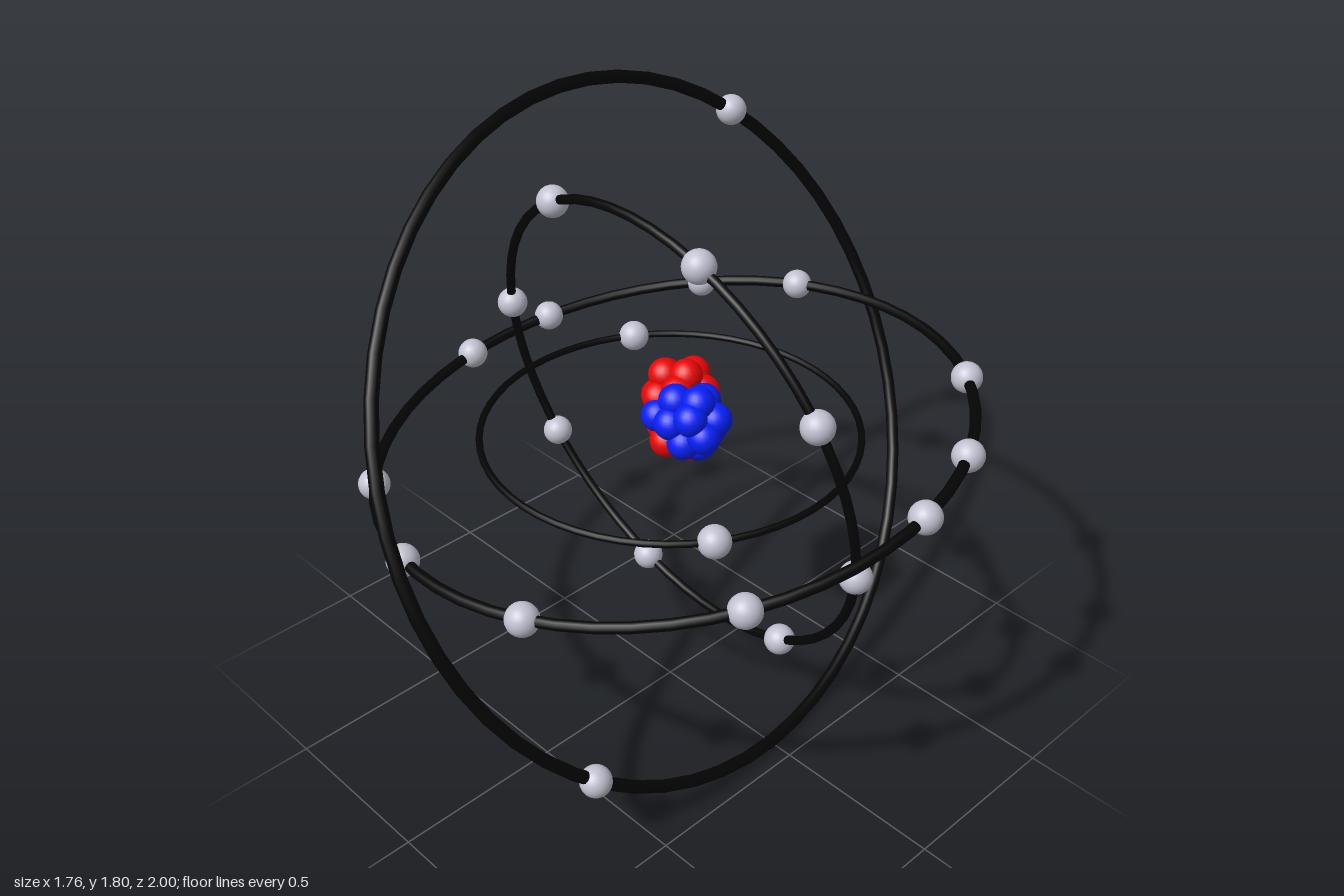
import * as THREE from 'three';

const CENTRE_Y = 0.91;
const black = new THREE.MeshStandardMaterial({ color: 0x040404 });
const lilac = new THREE.MeshStandardMaterial({ color: 0xc2c2d2 });
const red = new THREE.MeshStandardMaterial({ color: 0xea0606 });
const blue = new THREE.MeshStandardMaterial({ color: 0x0620fa });

const electronGeometry = new THREE.SphereGeometry(0.045, 24, 16);
const nucleonGeometry = new THREE.SphereGeometry(0.047, 20, 14);

// Ring with electrons: `start` points at the first electron, angles (degrees) turn about the ring's normal
function createOrbit(name, radius, normal, start, angles) {
  const orbit = new THREE.Group();
  orbit.name = name;
  orbit.position.y = CENTRE_Y;
  const n = new THREE.Vector3(...normal).normalize();

  const ring = new THREE.Mesh(new THREE.TorusGeometry(radius, radius * 0.0186, 12, 56), black);
  ring.name = name + 'Ring';
  ring.quaternion.setFromUnitVectors(new THREE.Vector3(0, 0, 1), n);
  orbit.add(ring);

  const first = new THREE.Vector3(...start).projectOnPlane(n).setLength(radius);
  for (const angle of angles) {
    const electron = new THREE.Mesh(electronGeometry, lilac);
    electron.name = 'electron';
    electron.position.copy(first).applyAxisAngle(n, THREE.MathUtils.degToRad(angle));
    orbit.add(electron);
  }
  return orbit;
}

function addNucleon(group, name, material, x, y, z) {
  const ball = new THREE.Mesh(nucleonGeometry, material);
  ball.name = name;
  ball.position.set(x, y, z);
  group.add(ball);
}

// Balls packed around a core, spread evenly on an ellipsoid
function createCluster(name, ballName, material, centre, radii, count) {
  const cluster = new THREE.Group();
  cluster.name = name;
  addNucleon(cluster, ballName, material, ...centre);
  for (let i = 0; i < count; i++) {
    const h = 1 - (2 * i + 1) / count;
    const r = Math.sqrt(1 - h * h);
    const a = i * Math.PI * (3 - Math.sqrt(5));
    addNucleon(cluster, ballName, material,
      centre[0] + radii[0] * r * Math.cos(a),
      centre[1] + radii[1] * h,
      centre[2] + radii[2] * r * Math.sin(a));
  }
  return cluster;
}

export function createModel() {
  const model = new THREE.Group();
  model.name = 'atom';

  // Nucleus: two overlapping clusters, with a few red balls tucked underneath
  const protons = createCluster('protons', 'proton', red, [-0.035, 0.98, -0.07], [0.072, 0.077, 0.068], 15);
  for (const p of [[0.02, 0.897, 0.035], [0.075, 0.895, 0], [0.02, 0.897, -0.04], [-0.03, 0.91, 0]]) {
    addNucleon(protons, 'proton', red, ...p);
  }
  const neutrons = createCluster('neutrons', 'neutron', blue, [0.085, 0.982, 0.005], [0.077, 0.073, 0.06], 14);
  addNucleon(neutrons, 'neutron', blue, -0.02, 0.96, 0.03);
  model.add(protons, neutrons);

  // Orbits from the innermost to the outermost
  model.add(
    createOrbit('innerOrbit', 0.533, [0, 1, 0], [0.45, 0, 0.28], [0, 180]),
    createOrbit('secondOrbit', 0.712, [-0.054, -0.195, 1], [0.245, 0.65, 0.14],
      [0, 50, 101, 140, 180, 230, 281, 320]),
    createOrbit('thirdOrbit', 0.841, [-0.1, 1, 0.11], [1, 0.1, 0],
      [5.5, 24.7, 50.8, 107, 128.8, 163.5, 183.4, 232, 259, 290, 328]),
    createOrbit('outerOrbit', 0.985, [0.895, 0.44, -0.095], [0.37, -0.647, 0.645], [0, 181.5]),
  );
  return model;
}
